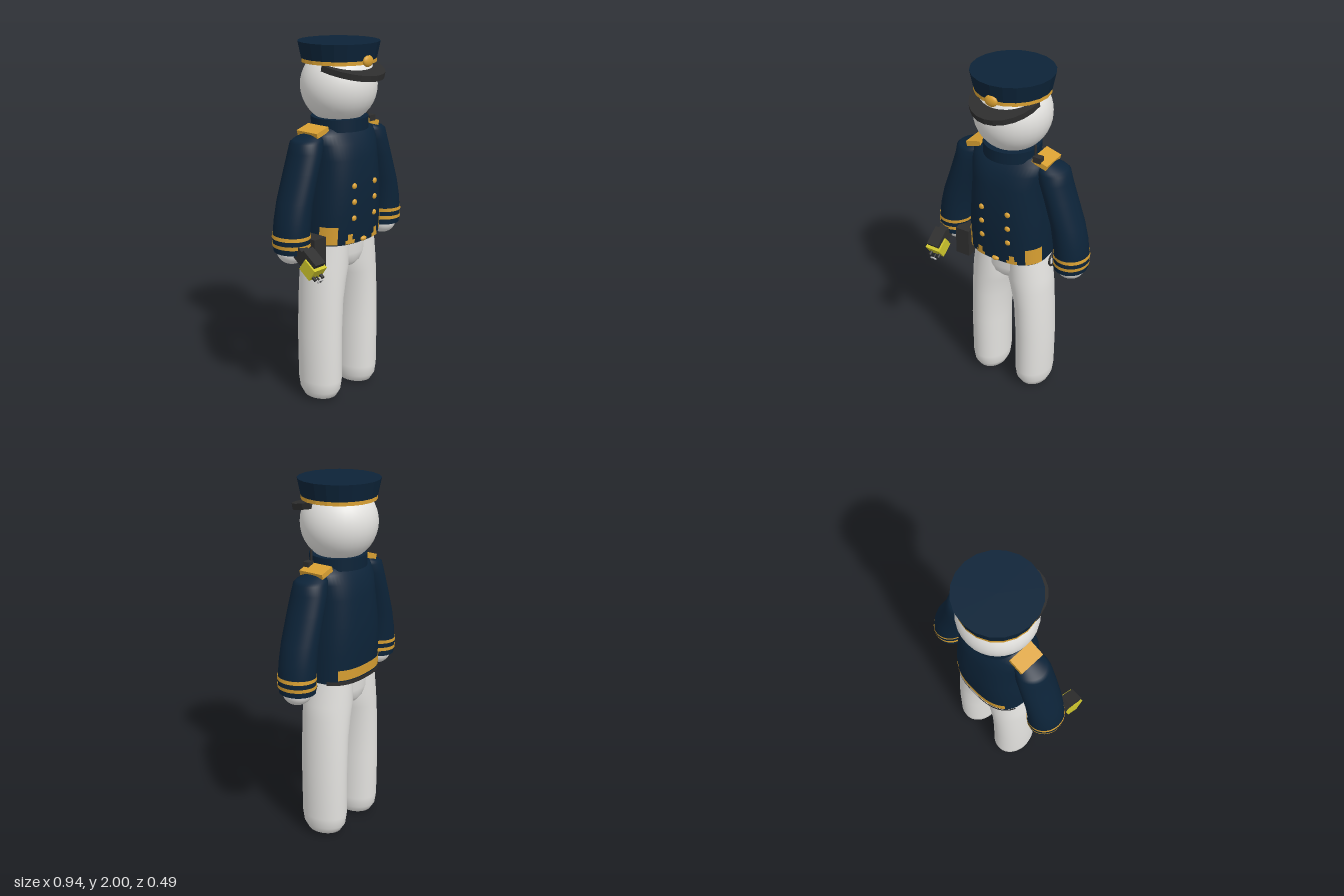
import * as THREE from 'three';

const mat = (name, color) => {
  const m = new THREE.MeshStandardMaterial({ color, side: THREE.DoubleSide });
  m.name = name;
  return m;
};
const sgnPow = (v, p) => Math.sign(v) * Math.pow(Math.abs(v), p);

// Linear interpolation in a table of rows [y, cx, cz, rx, rz]
function rowAt(rows, y) {
  let i = 0;
  while (i < rows.length - 2 && rows[i + 1][0] < y) i++;
  const a = rows[i], b = rows[i + 1], t = (y - a[0]) / (b[0] - a[0]);
  return a.map((v, k) => v + (b[k] - v) * t);
}
// Part of the table between two heights
function slice(rows, y0, y1) {
  return [rowAt(rows, y0), ...rows.filter(r => r[0] > y0 && r[0] < y1), rowAt(rows, y1)];
}

// Skin over (super)elliptical cross-sections stacked in y; angle runs from +x to +z
function loft(rows, { power = 2, off = 0, from = 0, to = 360, seg = 48, bottom = false, top = false } = {}) {
  const pos = [], idx = [], full = to - from === 360, w = full ? seg : seg + 1;
  const ring = ([y, cx, cz, rx, rz]) => {
    for (let j = 0; j < w; j++) {
      const a = THREE.MathUtils.degToRad(from + (to - from) * j / seg);
      pos.push(cx + (rx + off) * sgnPow(Math.cos(a), 2 / power), y, cz + (rz + off) * sgnPow(Math.sin(a), 2 / power));
    }
  };
  rows.forEach(ring);
  for (let i = 0; i < rows.length - 1; i++) for (let j = 0; j < seg; j++) {
    const k = (j + 1) % w, a = i * w + j, b = i * w + k;
    idx.push(a, a + w, b, b, a + w, b + w);
  }
  const cap = (r, up) => {
    const s = pos.length / 3;
    ring(r);
    pos.push(r[1], r[0], r[2]);
    for (let j = 0; j < seg; j++) {
      const k = (j + 1) % w;
      up ? idx.push(s + w, s + k, s + j) : idx.push(s + w, s + j, s + k);
    }
  };
  if (bottom) cap(rows[0], false);
  if (top) cap(rows[rows.length - 1], true);
  const g = new THREE.BufferGeometry();
  g.setAttribute('position', new THREE.Float32BufferAttribute(pos, 3));
  g.setIndex(idx);
  g.computeVertexNormals();
  return g;
}
function flat(g) {
  const f = g.toNonIndexed();
  f.computeVertexNormals();
  return f;
}

const TORSO = [
  [0.94, 0, -0.03, 0.225, 0.175], [1.1, 0, -0.028, 0.225, 0.187], [1.25, 0, -0.026, 0.215, 0.187],
  [1.4, 0, -0.023, 0.205, 0.172], [1.48, 0, -0.025, 0.215, 0.15], [1.53, 0, -0.025, 0.215, 0.118],
  [1.555, 0, -0.025, 0.19, 0.092], [1.575, 0, -0.025, 0.13, 0.07]];
const ARM = [
  [0.935, 0.367, -0.03, 0.092, 0.1], [1.0, 0.372, -0.03, 0.093, 0.104], [1.1, 0.36, -0.03, 0.092, 0.105],
  [1.2, 0.34, -0.03, 0.087, 0.105], [1.35, 0.292, -0.03, 0.082, 0.104], [1.45, 0.258, -0.03, 0.085, 0.1],
  [1.5, 0.247, -0.03, 0.088, 0.09], [1.515, 0.235, -0.03, 0.082, 0.08], [1.54, 0.2, -0.03, 0.045, 0.05]];
const LEG = [
  [0, 0.148, -0.04, 0.045, 0.06], [0.02, 0.148, -0.04, 0.082, 0.1], [0.06, 0.148, -0.04, 0.1, 0.125],
  [0.12, 0.148, -0.04, 0.107, 0.134], [0.4, 0.149, -0.04, 0.108, 0.136], [0.6, 0.14, -0.039, 0.108, 0.138],
  [0.72, 0.125, -0.038, 0.118, 0.14], [0.8, 0.112, -0.037, 0.124, 0.142], [0.95, 0.1, -0.035, 0.11, 0.143]];
const HIPS = [
  [0.765, 0, -0.038, 0.03, 0.06], [0.78, 0, -0.038, 0.07, 0.1], [0.81, 0, -0.037, 0.13, 0.125],
  [0.86, 0, -0.036, 0.19, 0.138], [0.96, 0, -0.035, 0.205, 0.143]];

export function createModel() {
  const navy = mat('navy cloth', 0x0c2338), gold = mat('gold trim', 0xd9a032), white = mat('white', 0xe4e3e0);
  const dark = mat('dark grey', 0x2e2e2e), yellow = mat('yellow', 0xcdc52c), silver = mat('silver', 0xb8b8b8);
  const model = new THREE.Group();
  const add = (name, geo, m, x = 0, y = 0, z = 0, parent = model) => {
    const mesh = new THREE.Mesh(geo, m);
    mesh.name = name;
    mesh.position.set(x, y, z);
    parent.add(mesh);
    return mesh;
  };
  const box = (w, h, d) => new THREE.BoxGeometry(w, h, d);
  const ball = new THREE.SphereGeometry(1, 32, 20);

  // Head and cap
  add('head', ball, white, 0, 1.77, -0.03).scale.setScalar(0.206);
  add('capCrown', flat(new THREE.CylinderGeometry(0.218, 0.2, 0.088, 20)), navy, 0, 1.956, -0.03);
  add('capBand', flat(new THREE.CylinderGeometry(0.199, 0.199, 0.022, 20)), gold, 0, 1.903, -0.03);
  const brim = new THREE.Shape();
  for (let i = 0; i <= 12; i++) {
    const a = Math.PI * i / 12;
    brim[i ? 'lineTo' : 'moveTo'](0.183 * Math.cos(a), 0.02 + 0.228 * Math.sin(a));
  }
  add('capVisor', new THREE.ExtrudeGeometry(brim, { depth: 0.032, bevelEnabled: false }), dark, 0, 1.897, 0)
    .rotation.x = Math.PI / 2 + 0.22;
  add('capEmblem', ball, gold, 0, 1.91, 0.172).scale.set(0.036, 0.03, 0.018);

  // Jacket
  add('jacket', loft(TORSO, { power: 2.6, top: true }), navy);
  add('jacketUnderside', loft(slice(TORSO, 0.938, 0.942), { power: 2.6, bottom: true, off: -0.002 }), dark);
  add('beltBack', loft(slice(TORSO, 0.936, 0.958), { power: 2.6, off: 0.006, from: 200, to: 340 }), dark);
  add('backTrim', loft(slice(TORSO, 0.962, 1.02), { power: 2.6, off: 0.004, from: 220, to: 320 }), gold);
  add('collar', new THREE.CylinderGeometry(0.154, 0.154, 0.065, 32), navy, 0, 1.574, -0.025);
  add('buckle', ball, gold, 0, 0.953, 0.147).scale.set(0.022, 0.013, 0.015);

  // Trousers
  add('hips', loft(HIPS, { bottom: true, top: true }), white);

  for (const s of [1, -1]) {
    const side = s > 0 ? 'left' : 'right';
    const mirror = rows => rows.map(([y, cx, ...r]) => [y, s * cx, ...r]);
    const arm = mirror(ARM);
    add(side + 'Leg', loft(mirror(LEG), { bottom: true }), white);
    add(side + 'Sleeve', loft(arm, { bottom: true, top: true }), navy);
    for (const y of [0.966, 1.011])
      add(side + 'CuffStripe', loft(slice(arm, y, y + 0.02), { off: 0.004 }), gold);
    add(side + 'Hand', ball, white, s * 0.368, 0.938, -0.03).scale.set(0.08, 0.073, 0.08);
    add(side + 'Epaulette', box(0.09, 0.028, 0.145), gold, s * 0.2, 1.55, -0.03).rotation.z = -s * 0.28;

    // Gold front trim and buttons
    const [from, to] = s > 0 ? [14, 48] : [132, 166];
    add(side + 'FrontTrim', loft(slice(TORSO, 0.945, 1.045), { power: 2.6, off: 0.004, from, to, seg: 12 }), gold);
    for (const y of [1.085, 1.175, 1.262]) {
      const r = rowAt(TORSO, y);
      add(side + 'Button', ball, gold, s * 0.08, y, r[2] + r[4] * 0.972).scale.set(0.016, 0.016, 0.01);
    }
    const hook = s > 0 ? [66, 74] : [106, 114];
    add(side + 'Hook', loft(slice(TORSO, 0.965, 0.998), { power: 2.6, off: 0.004, from: hook[0], to: hook[1], seg: 4 }), gold);
    add(side + 'HookFoot', loft(slice(TORSO, 0.943, 0.965), { power: 2.6, off: 0.004, from: hook[0] - 4, to: hook[1] + 4, seg: 6 }), gold);
  }

  // Shoulder radio
  add('radio', box(0.045, 0.032, 0.035), dark, 0.187, 1.572, 0.03);
  add('radioAntenna', new THREE.CylinderGeometry(0.006, 0.006, 0.085, 8), dark, 0.168, 1.602, 0.025);

  // Belt pouch and cuffs
  add('pouch', box(0.085, 0.165, 0.1), dark, -0.265, 0.917, 0.03);
  add('handcuff', new THREE.TorusGeometry(0.037, 0.006, 8, 24), dark, 0.255, 0.933, -0.03).rotation.y = Math.PI / 2;

  // Hand-held device pointing forward and down
  const device = new THREE.Group();
  device.name = 'handDevice';
  device.position.set(-0.388, 0.885, 0.145);
  device.rotation.x = 0.62;
  model.add(device);
  add('deviceBody', box(0.092, 0.072, 0.085), yellow, 0, 0, 0, device);
  add('deviceTop', box(0.072, 0.03, 0.11), dark, 0, 0.045, -0.03, device);
  add('deviceGrip', box(0.055, 0.07, 0.12), dark, 0, 0, -0.09, device);
  for (const x of [-0.028, 0.028])
    add('devicePort', new THREE.CylinderGeometry(0.009, 0.009, 0.03, 10), dark, x, -0.015, 0.05, device)
      .rotation.x = Math.PI / 2;
  add('deviceTip', new THREE.TorusGeometry(0.018, 0.004, 6, 16), silver, 0, -0.02, 0.075, device).scale.y = 0.5;
  add('deviceRod', new THREE.CylinderGeometry(0.005, 0.005, 0.04, 8), dark, 0, -0.02, 0.06, device)
    .rotation.x = Math.PI / 2;

  return model;
}
